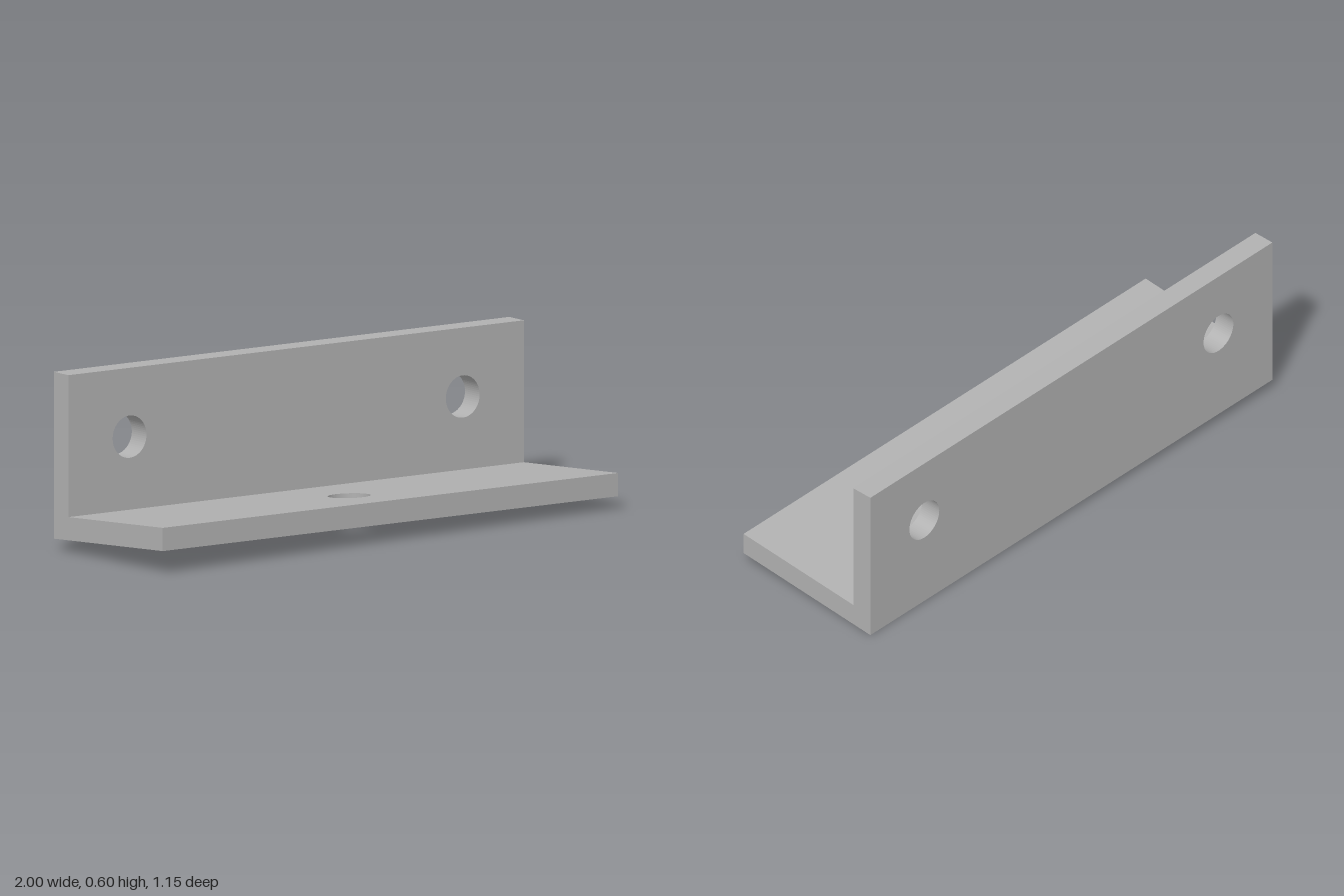
import * as THREE from 'three';

const LENGTH = 1.914, DEPTH = 0.58, HEIGHT = 0.56, THICK = 0.078, HOLE = 0.071;

// Directions of the bracket: along its length, straight up, across the wall, along the sloping flange
const along = new THREE.Vector3(0.951, -0.0193, -0.311);
const up = new THREE.Vector3(0, 1, 0);
const across = new THREE.Vector3(0.311, 0, 0.95);
const slope = new THREE.Vector3(0.311, 0.074, 0.95);
const corner = new THREE.Vector3(-1, 0.037, 0.022);

// Rectangular plate with round holes given as [x, y]
function plate(x0, y0, x1, y1, thickness, holes) {
  const shape = new THREE.Shape([
    new THREE.Vector2(x0, y0), new THREE.Vector2(x1, y0),
    new THREE.Vector2(x1, y1), new THREE.Vector2(x0, y1),
  ]);
  for (const [x, y] of holes) {
    shape.holes.push(new THREE.Path().absarc(x, y, HOLE, 0, Math.PI * 2, true));
  }
  return new THREE.ExtrudeGeometry(shape, { depth: thickness, bevelEnabled: false, curveSegments: 32 });
}

// Lay a plate into the skewed frame of the bracket
function place(geometry, depthAxis) {
  const frame = new THREE.Matrix4().makeBasis(along, up, depthAxis).setPosition(corner);
  return geometry.applyMatrix4(frame);
}

export function createModel() {
  const group = new THREE.Group();
  group.name = 'angleBracket';
  const steel = new THREE.MeshStandardMaterial({ color: 0xb0b0b0 });
  steel.name = 'grey steel';

  // Upright wall with two fixing holes
  const wallHoles = [-0.7, 0.7].map((offset) => [LENGTH / 2 + offset, 0.329]);
  const wall = new THREE.Mesh(
    place(plate(0, THICK, LENGTH, HEIGHT, THICK, wallHoles), across), steel);
  wall.name = 'wallPlate';

  // Gently sloping base flange with one hole
  const base = plate(0, -DEPTH, LENGTH, 0, THICK, [[LENGTH / 2, -0.36]]).rotateX(-Math.PI / 2);
  const flange = new THREE.Mesh(place(base, slope), steel);
  flange.name = 'baseFlange';

  group.add(wall, flange);
  return group;
}
